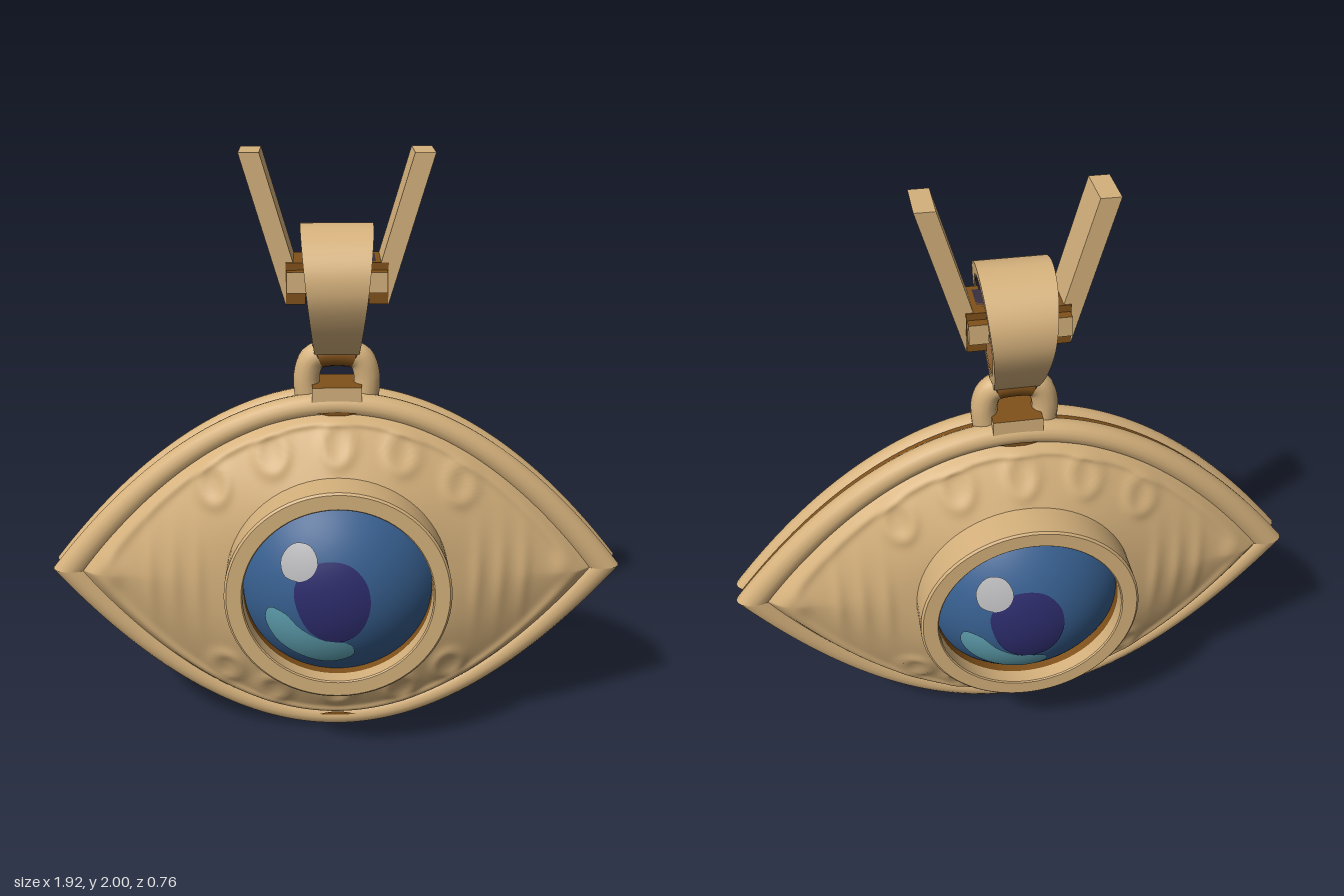
import * as THREE from 'three';
import { mergeVertices, toCreasedNormals } from 'three/addons/utils/BufferGeometryUtils.js';

const paint = (name, color) => {
  const m = new THREE.MeshStandardMaterial({ color });
  m.name = name;
  return m;
};

// Smooth surface from a rule f(u, v) -> [x, y, z]; it faces du x dv
function surface(nu, nv, f) {
  const pos = [], idx = [];
  for (let j = 0; j <= nv; j++)
    for (let i = 0; i <= nu; i++) pos.push(...f(i / nu, j / nv));
  for (let j = 0; j < nv; j++)
    for (let i = 0; i < nu; i++) {
      const a = j * (nu + 1) + i, b = a + 1, c = a + nu + 1, d = c + 1;
      idx.push(a, b, d, a, d, c);
    }
  const g = new THREE.BufferGeometry();
  g.setAttribute('position', new THREE.Float32BufferAttribute(pos, 3));
  g.setIndex(idx);
  const merged = mergeVertices(g, 1e-5);
  merged.computeVertexNormals();
  return merged;
}

const EYE_Y = 0.64, MID_Y = 0.62;

const spline = (pts, closed) =>
  new THREE.CatmullRomCurve3(pts.map(([x, y]) => new THREE.Vector3(x, y, 0)), closed);

// Almond outline made of two parabolas meeting at the corners
const outline = (a) => [0.96 * Math.cos(a), 0.62 * Math.sin(a) * Math.abs(Math.sin(a))];

const gauss = (d, w) => Math.exp(-(d * d) / (w * w));

// Raised marks pressed into the lids
const marks = [[0, 1.1], [0.21, 1.07], [0.4, 0.96], [0.38, 0.29], [0.22, 0.2], [0, 0.2]];
function relief(x, y) {
  const ax = Math.abs(x);
  let h = 0;
  for (const [mx, my] of marks) h += 0.009 * gauss(Math.hypot(ax - mx, (y - my) * 0.8) - 0.045, 0.02);
  for (const sx of [0.46, 0.54, 0.62]) h += 0.008 * gauss(ax - sx, 0.02) * gauss(y - EYE_Y, 0.15);
  h += 0.01 * gauss(ax - 0.75, 0.035) * gauss(y - EYE_Y, 0.06);
  return h;
}

// Closed smooth loop from one mirrored half profile
const mirrored = (half) => half.concat(half.slice(1, -1).reverse().map(([x, y]) => [-x, y]));
const loop = (half) => spline(mirrored(half), true).getPoints(72).slice(0, -1)
  .map((p) => new THREE.Vector2(p.x, p.y));

// Half width of the bail, narrower towards the bottom
const bailWidth = (y) => 0.113 * THREE.MathUtils.mapLinear(y, 1.35, 1.77, 0.62, 1);

export function createModel() {
  const gold = paint('gold', 0xd5b17c);
  const darkGold = paint('dark gold', 0x80511a);
  const shadow = paint('inner charcoal', 0x3a3040);
  const blue = paint('iris blue', 0x375f8f);
  const purple = paint('pupil purple', 0x2d2c6c);
  const teal = paint('reflection teal', 0x61a4b4);
  const white = paint('highlight grey', 0xb4b4b6);

  const model = new THREE.Group();
  const add = (parent, name, geometry, material) => {
    const m = new THREE.Mesh(geometry, material);
    m.name = name;
    parent.add(m);
    return m;
  };

  // One face of the pendant; the back is the same face turned half round
  const face = new THREE.Group();
  face.name = 'frontFace';

  // Domed lids from the rim in to the bezel
  add(face, 'lids', surface(256, 44, (u, v) => {
    const a = u * Math.PI * 2, t = 1 - v, [ox, oy] = outline(a);
    const x = THREE.MathUtils.lerp(0.355 * Math.cos(a), 0.92 * ox, t);
    const y = THREE.MathUtils.lerp(EYE_Y + 0.355 * Math.sin(a), MID_Y + 0.92 * oy, t);
    const fade = Math.min(1, v * 5);
    const z = 0.065 + 0.135 * Math.pow(v, 0.78) + 0.01 * gauss(t - 0.84, 0.06)
      - 0.01 * gauss(t - 0.95, 0.04) + relief(x, y) * fade;
    return [x, y, z];
  }), gold);

  // Rounded rim bead
  add(face, 'rim', surface(200, 16, (u, v) => {
    const [ox, oy] = outline(u * Math.PI * 2), q = v * Math.PI * 2;
    const k = 0.935 + 0.065 * Math.cos(q);
    return [ox * k, MID_Y + oy * k, 0.04 + 0.042 * Math.sin(q)];
  }), gold);

  // Dark accents in the groove at the top and bottom
  for (const [name, mid] of [['upperGroove', Math.PI / 2], ['lowerGroove', Math.PI * 1.5]])
    add(face, name, surface(16, 1, (u, v) => {
      const [ox, oy] = outline(mid + (u - 0.5) * 0.15);
      const k = 0.913 - 0.022 * v * Math.sin(Math.PI * u);
      return [ox * k, MID_Y + oy * k, 0.084];
    }), darkGold);

  // Bezel and its dark inner wall
  const lathe = (pts) => toCreasedNormals(
    new THREE.LatheGeometry(pts.map(([r, z]) => new THREE.Vector2(r, z)), 72)
      .rotateX(Math.PI / 2).translate(0, EYE_Y, 0), 0.6);
  add(face, 'bezel', lathe([[0.365, 0.12], [0.365, 0.312], [0.358, 0.318], [0.31, 0.318], [0.306, 0.314], [0.306, 0.265]]), gold);
  add(face, 'bezelInnerWall', lathe([[0.306, 0.265], [0.306, 0.2]]), darkGold);

  // Glass eye, a spherical cap
  const R = 0.4, cz = -0.025;
  add(face, 'eyeball', new THREE.SphereGeometry(R, 64, 24, 0, Math.PI * 2, 0, Math.asin(0.308 / R))
    .rotateX(Math.PI / 2).translate(0, EYE_Y, cz), blue);

  // Painted patches that follow the glass
  const patch = (name, points, material, lift) => {
    const curve = spline(points, true);
    const c = points.reduce((s, [x, y]) => [s[0] + x / points.length, s[1] + y / points.length], [0, 0]);
    add(face, name, surface(48, 10, (u, v) => {
      const p = curve.getPoint(u % 1);
      const x = THREE.MathUtils.lerp(p.x, c[0], v), y = THREE.MathUtils.lerp(p.y, c[1], v);
      const r = R + lift;
      return [x, y, cz + Math.sqrt(r * r - x * x - (y - EYE_Y) ** 2)];
    }), material);
  };
  patch('pupil', [[0.1, 0.62], [0.09, 0.71], [0.04, 0.77], [-0.03, 0.785], [-0.1, 0.76], [-0.14, 0.69],
    [-0.12, 0.59], [-0.08, 0.53], [-0.01, 0.5], [0.06, 0.53]], purple, 0.003);
  patch('reflection', [[0.05, 0.44], [0.04, 0.49], [-0.05, 0.51], [-0.12, 0.55], [-0.17, 0.6], [-0.22, 0.61],
    [-0.235, 0.56], [-0.2, 0.48], [-0.13, 0.425], [-0.03, 0.4]], teal, 0.004);
  patch('highlight', [[-0.065, 0.79], [-0.09, 0.83], [-0.14, 0.83], [-0.18, 0.78], [-0.17, 0.73],
    [-0.12, 0.72], [-0.08, 0.745]], white, 0.006);

  const back = face.clone();
  back.name = 'backFace';
  back.rotation.y = Math.PI;
  model.add(face, back);

  // Dark seam between the two rims
  add(model, 'seam', surface(200, 1, (u, v) => {
    const [ox, oy] = outline(u * Math.PI * 2);
    return [ox * 0.978, MID_Y + oy * 0.978, (v - 0.5) * 0.05];
  }), darkGold);

  // Hanging loop, dark where the bail rubs, on a small foot with a dark top
  const arch = spline([[-0.09, 1.18], [-0.097, 1.29], [-0.075, 1.345], [0, 1.36],
    [0.075, 1.345], [0.097, 1.29], [0.09, 1.18]]);
  const archPart = (name, t0, t1, material) => {
    const pts = Array.from({ length: 12 }, (_, i) => arch.getPointAt(t0 + (t1 - t0) * i / 11));
    add(model, name, new THREE.TubeGeometry(new THREE.CatmullRomCurve3(pts), 16, 0.043, 14), material);
  };
  archPart('loopRightLeg', 0, 0.38, gold);
  archPart('loopCrown', 0.38, 0.62, darkGold);
  archPart('loopLeftLeg', 0.62, 1, gold);
  add(model, 'loopFoot', new THREE.BoxGeometry(0.16, 0.07, 0.15).translate(0, 1.23, 0),
    [gold, gold, darkGold, gold, gold, gold]);

  // Teardrop bail
  const inner = [[0, 1.737], [0.08, 1.712], [0.13, 1.65], [0.14, 1.58], [0.11, 1.5], [0.05, 1.425], [0, 1.405]];
  const drop = new THREE.Shape(loop([[0, 1.775], [0.1, 1.745], [0.165, 1.665], [0.175, 1.58], [0.14, 1.49],
    [0.07, 1.395], [0, 1.345]]));
  drop.holes.push(new THREE.Path(loop(inner).reverse()));
  const bail = new THREE.ExtrudeGeometry(drop, { depth: 2, bevelEnabled: false });
  bail.translate(0, 0, -1).rotateY(Math.PI / 2);
  const bp = bail.attributes.position;
  for (let i = 0; i < bp.count; i++) bp.setX(i, bp.getX(i) * bailWidth(bp.getY(i)));
  add(model, 'bail', toCreasedNormals(bail, 0.6), gold);

  // Dark lining of the bail, upper and lower half
  const lining = spline(mirrored(inner.map(([x, y]) => [x * 0.96, 1.58 + (y - 1.58) * 0.96])), true);
  const liningPart = (name, t0, t1, material) => add(model, name, surface(32, 1, (u, v) => {
    const p = lining.getPoint((t0 + (t1 - t0) * u + 1) % 1);
    return [(v * 2 - 1) * bailWidth(p.y) * 0.98, p.y, -p.x];
  }), material);
  liningPart('upperLining', -0.25, 0.25, shadow);
  liningPart('lowerLining', 0.25, 0.75, darkGold);

  // Crosspiece through the bail
  add(model, 'crosspiece', new THREE.BoxGeometry(0.24, 0.1, 0.12).translate(0, 1.62, 0), shadow);

  // Slanted chain bars with their pegs
  for (const s of [-1, 1]) {
    const side = s > 0 ? 'left' : 'right';
    const pts = [[0.097, 1.54], [0.16, 1.54], [0.295, 2], [0.232, 2]].map(([x, y]) => new THREE.Vector2(s * x, y));
    const bar = new THREE.ExtrudeGeometry(new THREE.Shape(pts), { depth: 0.154, bevelEnabled: false });
    add(model, side + 'ChainBar', bar.translate(0, 0, -0.077), gold);
    add(model, side + 'Peg', new THREE.BoxGeometry(0.06, 0.065, 0.225).translate(s * 0.125, 1.615, 0),
      [gold, gold, darkGold, darkGold, gold, gold]);
    add(model, side + 'PegSeat', new THREE.BoxGeometry(0.06, 0.13, 0.162).translate(s * 0.128, 1.605, 0), darkGold);
  }

  return model;
}
